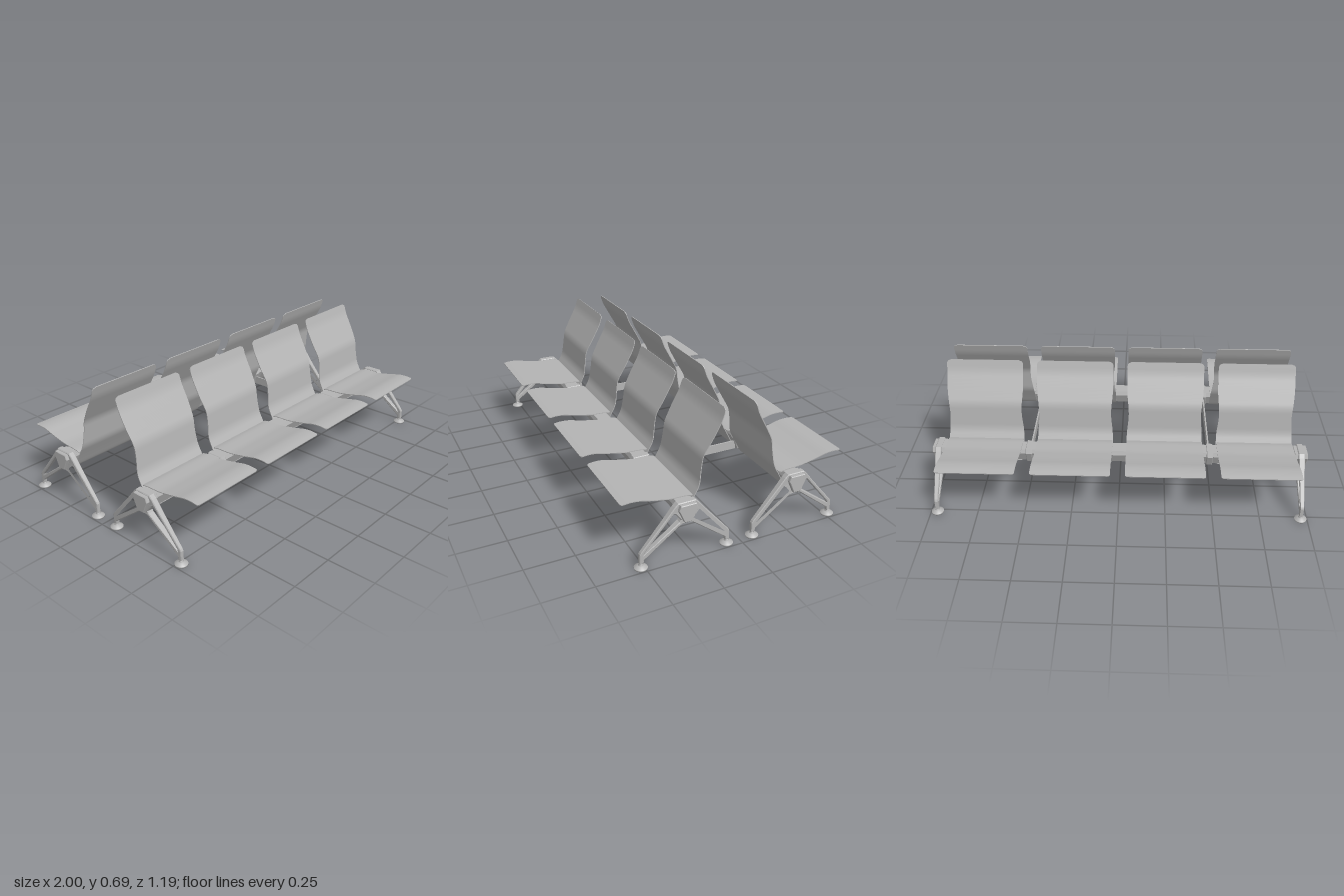
import * as THREE from 'three';

const BENCH_Z = 0.294; // distance of each beam from the middle
const SEAT_X = [-0.724, -0.241, 0.241, 0.724];

const grey = new THREE.MeshStandardMaterial({ color: 0xb4b4b4 });
grey.name = 'satin grey metal';

function add(parent, name, geometry, x = 0, y = 0, z = 0) {
  const mesh = new THREE.Mesh(geometry, grey);
  mesh.name = name;
  mesh.position.set(x, y, z);
  parent.add(mesh);
  return mesh;
}

// Polyline [z, y] with small fillets at its bends, sampled evenly
function filletPath(points, radius, samples) {
  const v = points.map(([z, y]) => new THREE.Vector2(z, y));
  const path = new THREE.Path();
  path.moveTo(v[0].x, v[0].y);
  for (let i = 1; i < v.length - 1; i++) {
    const towards = (q) => {
      const d = q.clone().sub(v[i]);
      return v[i].clone().addScaledVector(d, Math.min(radius / d.length(), 0.45));
    };
    const a = towards(v[i - 1]), b = towards(v[i + 1]);
    path.lineTo(a.x, a.y);
    path.quadraticCurveTo(v[i].x, v[i].y, b.x, b.y);
  }
  path.lineTo(v[v.length - 1].x, v[v.length - 1].y);
  return path.getSpacedPoints(samples);
}

// Thin bent sheet following a profile, with rounded corners
function sheet(points, halfWidth, cornerStart, cornerEnd) {
  const n = 90, t = 0.004;
  const p = filletPath(points, 0.025, n);
  let length = 0;
  for (let i = 0; i < n; i++) length += p[i].distanceTo(p[i + 1]);
  const inset = (d, r) => (d < r ? r - Math.sqrt(r * r - (r - d) * (r - d)) : 0);
  const geo = new THREE.BoxGeometry(2, 1, 1, 1, 1, n);
  const pos = geo.attributes.position;
  for (let i = 0; i < pos.count; i++) {
    const k = Math.round((pos.getZ(i) + 0.5) * n);
    const tan = p[Math.min(k + 1, n)].clone().sub(p[Math.max(k - 1, 0)]).normalize();
    const s = (k / n) * length;
    const w = halfWidth(p[k].y) - inset(s, cornerStart) - inset(length - s, cornerEnd);
    const h = pos.getY(i) * t;
    pos.setXYZ(i, pos.getX(i) * w, p[k].y + tan.x * h, p[k].x - tan.y * h);
  }
  geo.computeVertexNormals();
  return geo;
}

// Closed [z, y] outline with holes, extruded along x and centred
function plate(outline, holes, width, bevel = 0) {
  const toPoints = (list) => list.map(([z, y]) => new THREE.Vector2(z, y));
  const shape = new THREE.Shape(toPoints(outline));
  holes.forEach((h) => shape.holes.push(new THREE.Path(toPoints(h))));
  const depth = width - 2 * bevel;
  const geo = new THREE.ExtrudeGeometry(shape, {
    depth, bevelEnabled: bevel > 0, bevelSize: bevel, bevelThickness: bevel,
    bevelOffset: -bevel, bevelSegments: 1,
  });
  geo.translate(0, 0, -depth / 2);
  geo.rotateY(-Math.PI / 2);
  return geo;
}

const mirror = (list) => list.map(([z, y]) => [-z, y]);
const mirrored = (half) => [...half, ...mirror(half).reverse()];

// Cast leg frame: a hub with two open struts running to each foot
function legGeometry() {
  const half = [
    [0.045, 0.297], [0.062, 0.28], [0.108, 0.223], [0.226, 0.086], [0.232, 0.075],
    [0.232, 0.025], [0.213, 0.025], [0.211, 0.043], [0.03, 0.182], [0.015, 0.187],
  ];
  const hole = [
    [0.212, 0.07], [0.209, 0.08], [0.075, 0.237], [0.066, 0.247], [0.058, 0.245],
    [0.03, 0.208], [0.036, 0.198],
  ];
  const geo = plate(mirrored(half), [hole, mirror(hole)], 0.036, 0.004);
  const pos = geo.attributes.position;
  for (let i = 0; i < pos.count; i++) {
    const reach = Math.min(Math.abs(pos.getZ(i)) / 0.23, 1);
    pos.setX(i, pos.getX(i) * (1 - 0.45 * reach));
  }
  geo.computeVertexNormals();
  return geo;
}

function createBench() {
  const bench = new THREE.Group();
  bench.name = 'bench';

  // Beam and its end caps
  const beamHalf = [[0.036, 0.286], [0.044, 0.264], [0.02, 0.206]];
  add(bench, 'beam', plate(mirrored(beamHalf), [], 1.95), 0, 0, BENCH_Z);
  const capHalf = [[0.039, 0.291], [0.048, 0.266], [0.02, 0.203]];
  const cap = plate(mirrored(capHalf), [], 0.07, 0.003);

  // Legs with swivel feet
  const leg = legGeometry();
  const foot = new THREE.LatheGeometry([
    [0, 0], [0.032, 0], [0.032, 0.007], [0.014, 0.016], [0.009, 0.018], [0.009, 0.03], [0, 0.03],
  ].map(([r, y]) => new THREE.Vector2(r, y)), 24);
  for (const side of [-1, 1]) {
    const x = side * 0.965;
    add(bench, 'beamEndCap', cap, x, 0, BENCH_Z);
    add(bench, 'legFrame', leg, x, 0, BENCH_Z);
    for (const dz of [-0.223, 0.223]) add(bench, 'foot', foot, x, 0, BENCH_Z + dz);
  }

  // Clamps that hold the cross bars
  const clampHalf = [[0.042, 0.289], [0.052, 0.266], [0.026, 0.199]];
  const clamp = plate(mirrored(clampHalf), [], 0.034, 0.003);
  for (const x of [-0.483, 0.483]) add(bench, 'clamp', clamp, x, 0, BENCH_Z);

  // Seat and backrest sheets
  const seat = sheet([
    [0.594, 0.326], [0.555, 0.331], [0.51, 0.329], [0.45, 0.314], [0.355, 0.296],
    [0.265, 0.293], [0.236, 0.286],
  ], () => 0.2035, 0.012, 0.006);
  const waist = (y) => {
    const d = (y - 0.43) / 0.14;
    return 0.2035 - 0.01 * (Math.abs(d) < 1 ? Math.cos(d * Math.PI / 2) ** 2 : 0);
  };
  const back = sheet([
    [0.302, 0.193], [0.282, 0.193], [0.27, 0.203], [0.237, 0.266], [0.202, 0.33],
    [0.183, 0.472], [0.097, 0.629], [0.078, 0.688],
  ], waist, 0.012, 0.022);
  for (const x of SEAT_X) {
    add(bench, 'seat', seat, x);
    add(bench, 'backrest', back, x);
  }
  return bench;
}

export function createModel() {
  const model = new THREE.Group();
  model.name = 'backToBackBench';

  const front = createBench();
  front.name = 'frontBench';
  const rear = createBench();
  rear.name = 'rearBench';
  rear.rotation.y = Math.PI;
  model.add(front, rear);

  // Flat bars joining the two beams
  const bar = new THREE.BoxGeometry(0.008, 0.046, 0.52);
  for (const x of [-0.483, 0.483]) add(model, 'crossBar', bar, x, 0.222, 0);
  return model;
}
